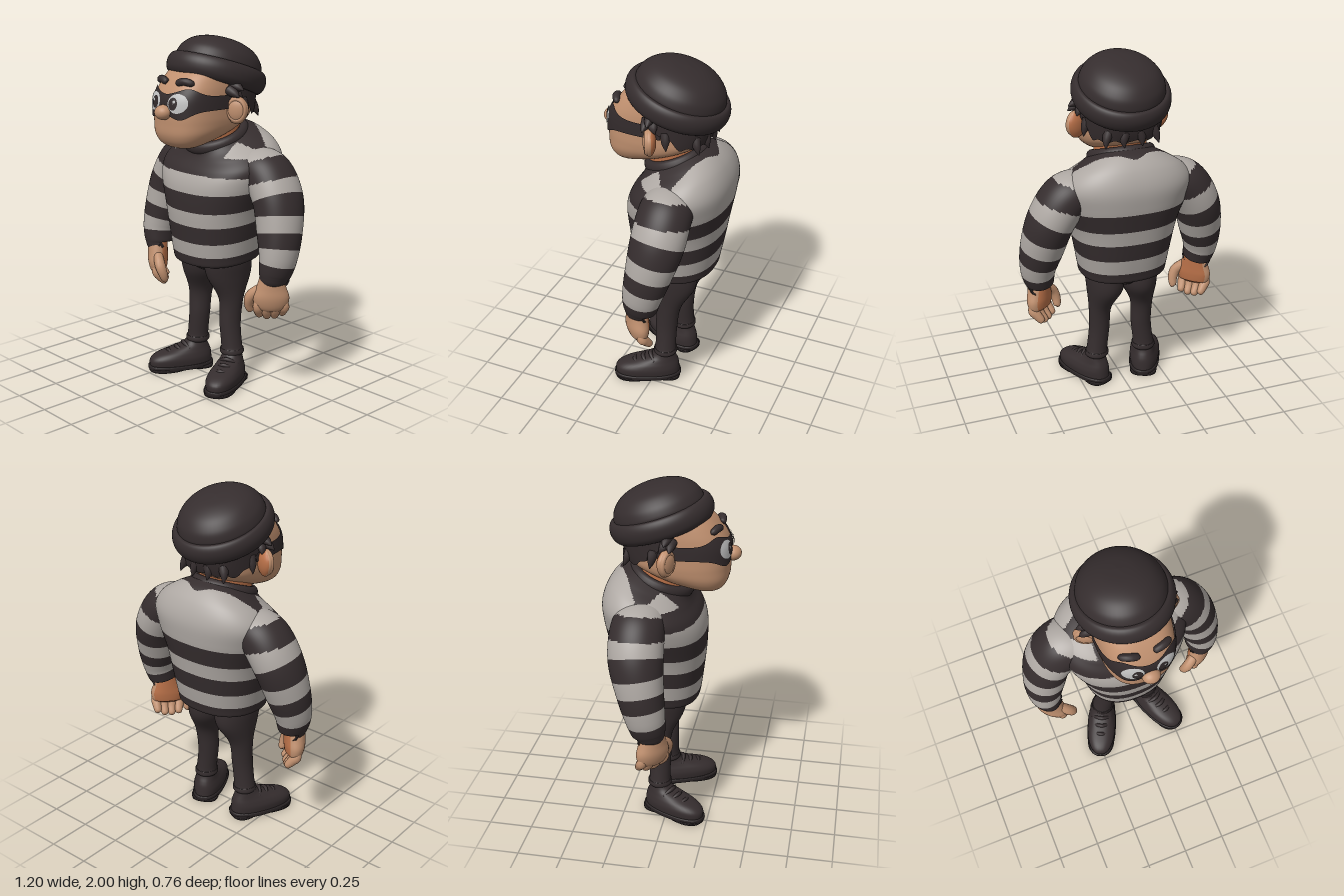
import * as THREE from 'three';

const flat = (name, color) => Object.assign(new THREE.MeshStandardMaterial({ color }), { name });
const V = (x, y, z) => new THREE.Vector3(x, y, z);
const sgnPow = (v, p) => Math.sign(v) * Math.pow(Math.abs(v), p);
const bell = (x, c, w) => Math.exp(-(((x - c) / w) ** 2));

// smooth interpolation through a list of number rows, t in 0..1
function sample(rows, t) {
  const n = rows.length, f = t * (n - 1), i = Math.min(Math.floor(f), n - 2), u = f - i;
  const at = k => rows[Math.max(0, Math.min(n - 1, k))];
  return rows[0].map((_, c) => {
    const p0 = at(i - 1)[c], p1 = at(i)[c], p2 = at(i + 1)[c], p3 = at(i + 2)[c];
    const m1 = (p2 - p0) / 2, m2 = (p3 - p1) / 2;
    return p1 + u * (m1 + u * (3 * (p2 - p1) - 2 * m1 - m2 + u * (2 * (p1 - p2) + m1 + m2)));
  });
}

// closed skin over rings; paint(ring, point) picks a material index
function skinRings(rings, paint) {
  const cols = rings[0].length, pos = [], tris = [[], []];
  rings.forEach(r => r.forEach(p => pos.push(p.x, p.y, p.z)));
  const mid = r => r.reduce((s, p) => s.add(p), V(0, 0, 0)).divideScalar(cols);
  const last = rings.length - 1, lo = rings.length * cols;
  [rings[0], rings[last]].forEach(r => pos.push(...mid(r).toArray()));
  for (let i = 0; i <= last; i++) for (let j = 0; j < cols; j++) {
    const k = (j + 1) % cols, a = i * cols + j, b = i * cols + k;
    const out = tris[paint ? paint(i / last, rings[i][j].clone().lerp(rings[i][k], 0.5)) : 0];
    if (i < last) out.push(a, b, a + cols, b, b + cols, a + cols);
    if (i === 0) out.push(lo, b, a);
    if (i === last) out.push(lo + 1, a, b);
  }
  const g = new THREE.BufferGeometry();
  g.setAttribute('position', new THREE.Float32BufferAttribute(pos, 3));
  g.setIndex(tris[0].concat(tris[1]));
  if (paint) {
    g.addGroup(0, tris[0].length, 0);
    g.addGroup(tris[0].length, tris[1].length, 1);
  }
  g.computeVertexNormals();
  return g;
}

// level section row: [y, cx, cz, halfWidth, halfDepth, tilt]
function sectionPoint([y, cx, cz, a, b, tilt], th, n, off = 0) {
  const dz = (b + off) * sgnPow(Math.cos(th), 2 / n);
  return V(cx + (a + off) * sgnPow(Math.sin(th), 2 / n), y - tilt * dz, cz + dz);
}
function loft(rows, n = 2, steps = 30, cols = 40, paint) {
  const rings = [];
  for (let i = 0; i <= steps; i++) {
    const r = sample(rows, i / steps);
    rings.push(Array.from({ length: cols }, (_, j) => sectionPoint(r, j / cols * Math.PI * 2, n)));
  }
  return skinRings(rings, paint && ((t, p) => paint(sample(rows, t)[0], p)));
}

// limb along a path; row: [x, y, z, radius, depthRadius]
function sweep(rows, steps = 14, cols = 14, paint) {
  const rings = [];
  for (let i = 0; i <= steps; i++) {
    const t = i / steps, [x, y, z, r, d = r] = sample(rows, t);
    const T = V(...sample(rows, Math.min(1, t + 0.01))).sub(V(...sample(rows, Math.max(0, t - 0.01)))).normalize();
    const U = T.clone().cross(V(0, 0, 1)).normalize(), W = U.clone().cross(T);
    rings.push(Array.from({ length: cols }, (_, j) => {
      const a = j / cols * Math.PI * 2;
      return V(x, y, z).addScaledVector(U, Math.sin(a) * r).addScaledVector(W, Math.cos(a) * d);
    }));
  }
  return skinRings(rings, paint && ((t, p) => paint(sample(rows, t)[1], p)));
}
const ball = (rx, ry, rz) => new THREE.SphereGeometry(1, 28, 20).scale(rx, ry, rz);

const HEAD_N = 2.75;
const HEAD = [[1.412, 0, 0.12, 0.03, 0.03, 0.2], [1.422, 0, 0.12, 0.1, 0.11, 0.2], [1.455, 0, 0.1, 0.155, 0.185, 0.17],
  [1.5, 0, 0.075, 0.188, 0.24, 0.1], [1.55, 0, 0.05, 0.2, 0.27, 0.03], [1.6, 0, 0.04, 0.202, 0.28, 0], [1.68, 0, 0.03, 0.2, 0.282, 0],
  [1.75, 0, 0.01, 0.195, 0.262, 0], [1.82, 0, -0.02, 0.178, 0.225, 0], [1.88, 0, -0.04, 0.12, 0.15, 0]];
function headAt(y) {
  let a = 0, b = 1;
  for (let i = 0; i < 25; i++) { const m = (a + b) / 2; if (sample(HEAD, m)[0] < y) a = m; else b = m; }
  return sample(HEAD, a);
}
// open band lying on the head between two height curves
function headBand(t0, t1, lo, hi, off) {
  const g = new THREE.PlaneGeometry(1, 1, 100, 10), p = g.attributes.position;
  for (let i = 0; i < p.count; i++) {
    const th = t0 + (p.getX(i) + 0.5) * (t1 - t0), y = lo(th) + (p.getY(i) + 0.5) * (hi(th) - lo(th));
    p.setXYZ(i, ...sectionPoint(headAt(y), th, HEAD_N, off).toArray());
  }
  g.computeVertexNormals();
  return g;
}
// disc wrapped on the face
function faceDisc(x, y, rx, ry, off) {
  const g = new THREE.RingGeometry(0.001, 1, 32, 6), p = g.attributes.position;
  for (let i = 0; i < p.count; i++) {
    const px = x + p.getX(i) * rx, py = y + p.getY(i) * ry, [, , cz, a, b] = headAt(py);
    p.setXYZ(i, px, py, cz + off + b * Math.pow(1 - Math.pow(Math.abs(px) / (a + 0.01), HEAD_N), 1 / HEAD_N));
  }
  g.computeVertexNormals();
  return g;
}

export function createModel() {
  const model = new THREE.Group();
  const dark = flat('darkCloth', 0x352d2e), light = flat('lightStripe', 0xaea8a3), skin = flat('skin', 0xc0906f);
  const warm = flat('warmSkin', 0xb87048), white = flat('eyeWhite', 0xc2c2c2), sole = flat('soleRubber', 0x2a2425);
  const darkThin = flat('maskAndHair', 0x322a2b);
  darkThin.side = THREE.DoubleSide;
  const add = (name, geo, mat) => {
    const m = new THREE.Mesh(geo, mat);
    m.name = name;
    model.add(m);
  };
  // one part on the left and its mirror on the right
  const pair = (name, geo, mat) => {
    add(name + 'Left', geo, mat);
    const g = geo.clone().scale(-1, 1, 1), ix = g.index.array;
    for (let i = 0; i < ix.length; i += 3) [ix[i], ix[i + 1]] = [ix[i + 1], ix[i]];
    add(name + 'Right', g, mat);
  };

  // striped jumper body
  const torso = [[0.725, 0, -0.07, 0.21, 0.2, 0.08], [0.737, 0, -0.07, 0.242, 0.226, 0.08], [0.78, 0, -0.07, 0.252, 0.236, 0.08],
    [0.9, 0, -0.075, 0.272, 0.255, 0.1], [1.05, 0, -0.08, 0.302, 0.274, 0.1], [1.2, 0, -0.093, 0.352, 0.286, 0.1],
    [1.3, 0, -0.11, 0.37, 0.272, 0.14], [1.375, 0, -0.112, 0.322, 0.235, 0.24], [1.425, 0, -0.09, 0.235, 0.196, 0.36],
    [1.455, 0, -0.065, 0.17, 0.165, 0.39]];
  add('jumperBody', loft(torso, 2.35, 130, 150, (v, p) => {
    const ax = Math.abs(p.x);
    const band = v < 0.79 || (v > 0.87 && v < 0.97) || (v > 1.06 && v < 1.16);
    const chest = p.z > -0.05 && p.y > 1.245 && p.y < 1.345;
    const neckline = p.y > 1.32 && p.z > -0.1 && ax < 0.2;
    const shoulderPoint = p.y > 1.33 && ax < 0.37 && Math.abs(p.z + 0.12) < (0.37 - ax) * 0.5;
    return band || chest || neckline || shoulderPoint ? 1 : 0;
  }), [light, dark]);
  add('collar', new THREE.TorusGeometry(0.162, 0.03, 14, 48).rotateX(Math.PI / 2).scale(1, 1.3, 1)
    .rotateX(0.37).translate(0, 1.438, -0.06), dark);

  // striped sleeves
  pair('sleeve', sweep([[0.484, 0.712, -0.045, 0.07, 0.082], [0.486, 0.725, -0.046, 0.083, 0.096], [0.495, 0.82, -0.062, 0.101, 0.112],
    [0.475, 0.95, -0.09, 0.122, 0.13], [0.43, 1.12, -0.122, 0.131, 0.15], [0.345, 1.25, -0.13, 0.131, 0.15],
    [0.24, 1.295, -0.125, 0.105, 0.14], [0.16, 1.31, -0.12, 0.08, 0.12]], 120, 60, (y, p) => {
    const upper = y + 0.4 * (p.y - y);
    return y < 0.785 || (y > 0.86 && y < 0.94) || (y > 1.03 && y < 1.125) || (upper > 1.215 && upper < 1.3) ? 1 : 0;
  }), [light, dark]);

  // hands, with warmer palms
  const place = g => g.rotateY(0.8).translate(0.482, 0.7, -0.024);
  pair('palm', place(sweep([[0, -0.165, -0.01, 0.06, 0.035], [0, -0.15, -0.005, 0.09, 0.05], [0, -0.1, 0, 0.1, 0.06],
    [0, -0.045, 0, 0.083, 0.06], [0, 0.03, 0, 0.06, 0.06]], 24, 32, (y, p) => (p.z < -0.03 ? 1 : 0))), [skin, warm]);
  for (let i = 0; i < 4; i++) {
    const x = -0.072 + i * 0.048, d = [0.01, 0, 0.003, 0.02][i];
    pair('finger' + (i + 1), place(sweep([[x * 0.85, -0.238 + d, -0.056, 0.004], [x * 0.87, -0.23 + d, -0.048, 0.02],
      [x * 0.95, -0.195 + d, -0.016, 0.028], [x, -0.15, 0.004, 0.029], [x * 0.9, -0.1, 0, 0.017]])), skin);
  }
  pair('thumb', place(sweep([[-0.108, -0.205, -0.055, 0.004], [-0.113, -0.195, -0.053, 0.02], [-0.122, -0.15, -0.04, 0.028],
    [-0.11, -0.1, -0.022, 0.032], [-0.055, -0.05, -0.005, 0.028]])), skin);

  // trousers
  add('trouserSeat', ball(0.2, 0.105, 0.16).translate(0, 0.745, -0.055), dark);
  pair('trouserLeg', loft([[0.165, 0.148, -0.05, 0.06, 0.06, 0], [0.178, 0.148, -0.05, 0.07, 0.07, 0], [0.2, 0.147, -0.05, 0.068, 0.068, 0],
    [0.215, 0.146, -0.05, 0.061, 0.061, 0], [0.35, 0.131, -0.05, 0.06, 0.064, 0], [0.5, 0.128, -0.06, 0.066, 0.078, 0],
    [0.63, 0.102, -0.066, 0.102, 0.145, 0], [0.72, 0.1, -0.06, 0.11, 0.16, 0], [0.76, 0.1, -0.06, 0.1, 0.15, 0]], 2, 50, 32), dark);

  // shoes, toes turned out
  const shoe = g => g.rotateY(0.42).translate(0.155, 0, -0.045);
  pair('shoeSole', shoe(loft([[0.008, 0, 0.1, 0.084, 0.192, 0], [0.012, 0, 0.1, 0.092, 0.2, 0], [0.032, 0, 0.1, 0.092, 0.2, 0],
    [0.036, 0, 0.1, 0.086, 0.194, 0]], 2.5, 8, 40)), sole);
  pair('shoeHeel', shoe(loft([[0, 0, -0.025, 0.08, 0.07, 0], [0.02, 0, -0.025, 0.082, 0.072, 0]], 2.6, 2, 32)), sole);
  pair('shoeForeSole', shoe(loft([[0, 0, 0.18, 0.084, 0.115, 0], [0.02, 0, 0.18, 0.087, 0.118, 0]], 2.4, 2, 32)), sole);
  pair('shoeUpper', shoe(loft([[0.03, 0, 0.1, 0.086, 0.192, 0], [0.07, 0, 0.1, 0.09, 0.19, 0], [0.1, 0, 0.082, 0.082, 0.168, 0],
    [0.125, 0, 0.045, 0.07, 0.122, 0], [0.15, 0, 0.01, 0.06, 0.075, 0], [0.18, 0, 0, 0.052, 0.055, 0]], 2.3, 24, 40)), dark);
  for (const [y, z] of [[0.113, 0.18], [0.133, 0.13], [0.152, 0.085]])
    pair('lace', shoe(sweep([[-0.06, y - 0.024, z - 0.025, 0.01], [0, y + 0.006, z, 0.012], [0.06, y - 0.024, z - 0.025, 0.01]], 10, 10)), dark);

  // neck and head
  add('neck', loft([[1.36, 0, -0.05, 0.15, 0.155, 0.3], [1.5, 0, -0.045, 0.145, 0.15, 0.2], [1.62, 0, -0.03, 0.15, 0.16, 0]], 2, 12), warm);
  add('head', loft(HEAD, HEAD_N, 60, 96), skin);
  add('nose', ball(0.05, 0.041, 0.046).translate(0, 1.607, 0.333), skin);
  // ears, warmer behind
  const earPlace = g => g.rotateY(0.45).translate(0.232, 1.612, 0.005);
  pair('ear', earPlace(sweep([[0, -0.076, 0, 0.006, 0.004], [0, -0.068, 0, 0.03, 0.018], [0, -0.035, 0, 0.055, 0.032],
    [0, 0, 0, 0.066, 0.036], [0, 0.035, 0, 0.06, 0.032], [0, 0.066, 0, 0.032, 0.018], [0, 0.074, 0, 0.006, 0.004]],
  24, 28, (y, p) => (p.z < -0.008 ? 1 : 0))), [skin, warm]);
  pair('earRim', earPlace(new THREE.TorusGeometry(0.048, 0.012, 10, 28).scale(1, 1.2, 1.4).translate(0.003, 0.002, 0.012)), skin);

  // eye mask, eyes and brows
  add('eyeMask', headBand(-1.75, 1.75, t => 1.62 - 0.045 * bell(Math.abs(t), 0.4, 0.42),
    t => 1.695 + 0.042 * bell(Math.abs(t), 0.55, 0.45), 0.008), darkThin);
  pair('eyeWhite', faceDisc(0.09, 1.66, 0.058, 0.052, 0.012), white);
  pair('pupil', faceDisc(0.07, 1.658, 0.028, 0.034, 0.016), darkThin);
  pair('eyeGlint', faceDisc(0.08, 1.67, 0.008, 0.008, 0.019), white);
  pair('brow', sweep([[0.04, 1.76, 0.266, 0.004], [0.048, 1.763, 0.266, 0.018], [0.09, 1.774, 0.26, 0.021],
    [0.128, 1.764, 0.24, 0.018], [0.14, 1.757, 0.232, 0.004]]), dark);

  // hair under the hat, with ragged tufts
  add('hair', headBand(1.6, Math.PI * 2 - 1.6, t => {
    const back = Math.min(1, (1.54 - Math.abs(t - Math.PI)) / 0.6);
    return 1.68 - 0.11 * Math.max(0, back) + 0.01 * Math.sin(t * 14);
  }, () => 1.8, 0.018), darkThin);
  const tufts = [[0.2, 1.72, 0.03, 0.275, 1.685, 0.03], [0.2, 1.75, 0.01, 0.28, 1.72, 0], [0.2, 1.71, 0, 0.24, 1.67, -0.03],
    [0.19, 1.66, -0.07, 0.222, 1.57, -0.085], [0.12, 1.63, -0.21, 0.15, 1.545, -0.245], [0.04, 1.62, -0.235, 0.05, 1.545, -0.262]];
  for (const [x, y, z, u, v, w] of tufts)
    pair('hairTuft', sweep([[u, v, w, 0.002], [(x + u) / 2 + 0.006, (y + v) / 2, (z + w) / 2, 0.022, 0.03], [x, y, z, 0.032, 0.045]], 8, 10), dark);

  // knitted hat, tipped back
  const hat = (name, pts) => add(name, new THREE.LatheGeometry(
    new THREE.SplineCurve(pts.map(p => new THREE.Vector2(...p))).getPoints(30), 56)
    .scale(0.915, 1, 1).rotateX(-0.32).translate(0, 1.782, -0.06), dark);
  hat('hatBrim', [[0.15, -0.05], [0.25, -0.06], [0.284, -0.038], [0.295, 0], [0.29, 0.035], [0.272, 0.06], [0.245, 0.06]]);
  hat('hatCrown', [[0.255, 0.045], [0.253, 0.075], [0.232, 0.12], [0.18, 0.166], [0.098, 0.195], [0, 0.204]]);
  return model;
}
